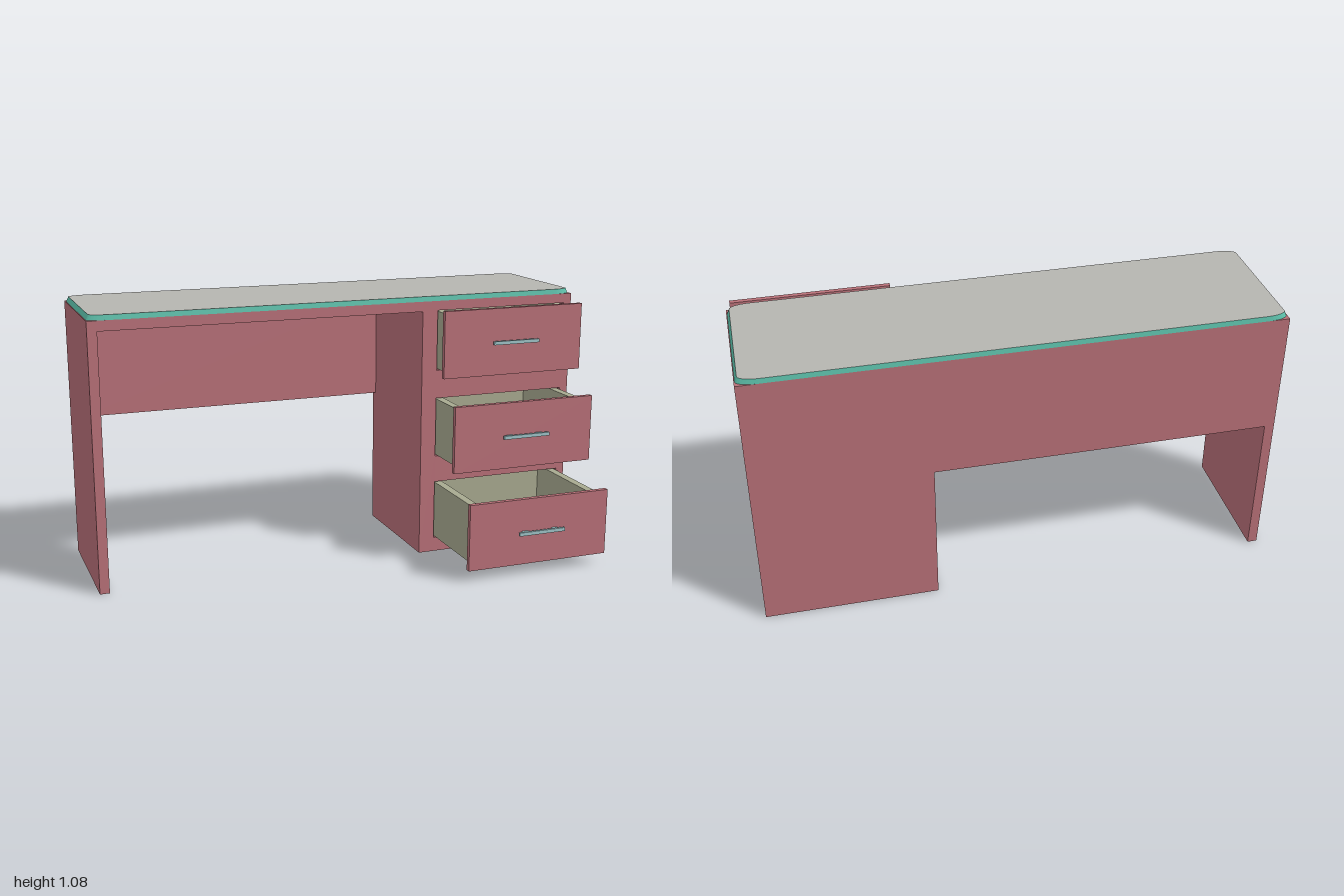
import * as THREE from 'three';

const mat = (color) => new THREE.MeshStandardMaterial({ color });
const red = mat(0xb87078), olive = mat(0xa8aa90), teal = mat(0x5fc4ae), grey = mat(0xb5b5b0), metal = mat(0x9fc4c8);

const BACK = -0.465, FRONT = 0.06;

// Box given by its minimum and maximum on each axis
function box(parent, name, material, [x0, x1], [y0, y1], [z0, z1]) {
  const mesh = new THREE.Mesh(new THREE.BoxGeometry(x1 - x0, y1 - y0, z1 - z0), material);
  mesh.position.set((x0 + x1) / 2, (y0 + y1) / 2, (z0 + z1) / 2);
  mesh.name = name;
  parent.add(mesh);
  return mesh;
}

function rectangle(path, x0, x1, y0, y1) {
  path.moveTo(x0, y0);
  path.lineTo(x1, y0);
  path.lineTo(x1, y1);
  path.lineTo(x0, y1);
  path.closePath();
  return path;
}

// Slab with elliptical corners, slightly narrower at its upper face
function glassTop() {
  const w = 0.997, d = (FRONT - BACK) / 2, a = 0.075, b = 0.03;
  const shape = new THREE.Shape();
  const corners = [[1, 1, 0], [-1, 1, 1], [-1, -1, 2], [1, -1, 3]];
  const pts = [];
  for (const [sx, sy, q] of corners) {
    for (let i = 0; i <= 8; i++) {
      const t = (q + i / 8) * Math.PI / 2;
      pts.push(new THREE.Vector2(sx * (w - a) + a * Math.cos(t), sy * (d - b) + b * Math.sin(t)));
    }
  }
  shape.setFromPoints(pts);
  const geo = new THREE.ExtrudeGeometry(shape, { depth: 0.02, bevelEnabled: false });
  const p = geo.attributes.position;
  for (let i = 0; i < p.count; i++) {
    if (p.getZ(i) > 0.01) p.setXY(i, p.getX(i) * 0.991, p.getY(i) * 0.995);
  }
  geo.computeVertexNormals();
  geo.rotateX(-Math.PI / 2);
  const mesh = new THREE.Mesh(geo, [grey, teal]);
  mesh.position.set(0, 1.055, (FRONT + BACK) / 2);
  mesh.name = 'glassTop';
  return mesh;
}

// Drawer cabinet: a block with three openings, closed by a back board
function cabinet(drawers) {
  const group = new THREE.Group();
  group.name = 'drawerCabinet';
  const shape = rectangle(new THREE.Shape(), 0.33, 1, 0, 1.055);
  for (const { y } of drawers) {
    shape.holes.push(rectangle(new THREE.Path(), 0.395, 0.965, y - 0.122, y + 0.122));
  }
  const geo = new THREE.ExtrudeGeometry(shape, { depth: FRONT - BACK - 0.03, bevelEnabled: false });
  const shell = new THREE.Mesh(geo, red);
  shell.position.z = BACK + 0.03;
  shell.name = 'cabinetShell';
  group.add(shell);
  box(group, 'cabinetBack', red, [0.33, 1], [0, 1.055], [BACK, BACK + 0.03]);
  return group;
}

// Open tray with a front board and a bar handle; z is the face of the front board
function drawer({ y, z }) {
  const group = new THREE.Group();
  group.name = 'drawer';
  const x0 = 0.4, x1 = 0.96, t = 0.033, low = -0.117, high = 0.117, inner = -0.02, rear = -0.5;
  box(group, 'drawerFront', red, [0.375, 0.985], [-0.135, 0.135], [inner, 0]);
  box(group, 'drawerFloor', olive, [x0 + t, x1 - t], [low, low + 0.02], [rear + t, inner]);
  box(group, 'drawerSide', olive, [x0, x0 + t], [low, high], [rear, inner]);
  box(group, 'drawerSide', olive, [x1 - t, x1], [low, high], [rear, inner]);
  box(group, 'drawerBack', olive, [x0 + t, x1 - t], [low, high], [rear, rear + t]);
  box(group, 'drawerInnerFront', olive, [x0 + t, x1 - t], [low, high], [inner - 0.008, inner]);
  // Handle
  box(group, 'handleBar', metal, [0.58, 0.78], [-0.007, 0.007], [0.017, 0.028]);
  for (const x of [0.615, 0.745]) {
    box(group, 'handlePost', metal, [x - 0.013, x + 0.013], [-0.004, 0.004], [0, 0.018]);
  }
  group.position.set(0, y, z);
  return group;
}

export function createModel() {
  const model = new THREE.Group();
  model.name = 'desk';
  const drawers = [{ y: 0.895, z: 0.173 }, { y: 0.535, z: 0.285 }, { y: 0.181, z: 0.438 }];

  // Carcass
  box(model, 'sidePanel', red, [-1, -0.962], [0, 1.055], [BACK, FRONT]);
  box(model, 'topBoard', red, [-0.962, 0.33], [1.015, 1.055], [BACK, FRONT]);
  box(model, 'backPanel', red, [-0.962, 0.33], [0.58, 1.015], [BACK, BACK + 0.03]);
  model.add(cabinet(drawers), glassTop());
  for (const d of drawers) model.add(drawer(d));
  return model;
}
